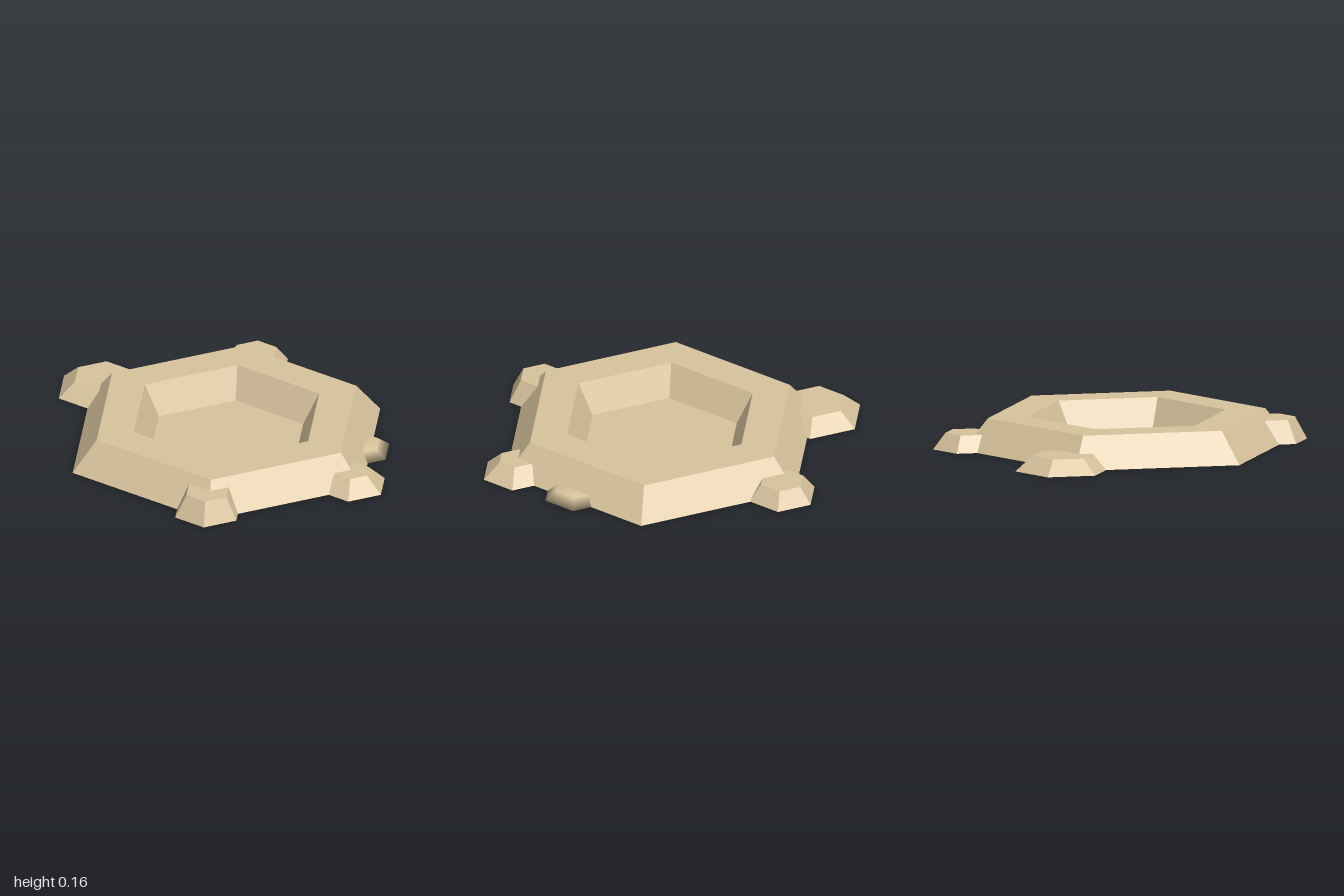
import * as THREE from 'three';
import { mergeVertices } from 'three/addons/utils/BufferGeometryUtils.js';

export function createModel() {
  const model = new THREE.Group();
  const color = 0xd7c29c;
  const facetedSand = new THREE.MeshStandardMaterial({ color, flatShading: true });
  const smoothSand = new THREE.MeshStandardMaterial({ color });

  // Hexagonal basin: sloped outer wall, flat rim, hollow with a thin floor
  const profile = [[0, 0], [0.832, 0], [0.702, 0.157], [0.501, 0.157], [0.415, 0.004], [0, 0.004]]
    .map(([r, y]) => new THREE.Vector2(r, y));
  const basin = new THREE.Mesh(new THREE.LatheGeometry(profile, 6, Math.PI / 2), facetedSand);
  basin.name = 'basin';
  basin.position.set(0.05, 0, 0.034);
  model.add(basin);

  // Small hexagonal rocks leaning into the outer wall
  const addRock = (name, x, z, bottomRadius, topRadius, height) => {
    const geometry = new THREE.CylinderGeometry(
      topRadius, bottomRadius, height, 6, 1, false, Math.PI / 2);
    const rock = new THREE.Mesh(geometry, facetedSand);
    rock.name = name;
    rock.position.set(x, height / 2, z);
    model.add(rock);
    return rock;
  };
  addRock('rightRock', -0.76, -0.038, 0.24, 0.153, 0.075);
  addRock('leftRock', 0.824, 0.037, 0.176, 0.09, 0.081);
  addRock('frontRock', 0.406, 0.677, 0.176, 0.115, 0.113);
  addRock('backRock', -0.297, -0.681, 0.176, 0.113, 0.081);

  // The lowest rock is worn smooth: its faces share corner normals
  const lowRock = addRock('lowRock', 0.632, -0.272, 0.17, 0.113, 0.041);
  lowRock.geometry.deleteAttribute('normal');
  lowRock.geometry.deleteAttribute('uv');
  lowRock.geometry = mergeVertices(lowRock.geometry);
  lowRock.geometry.computeVertexNormals();
  lowRock.material = smoothSand;

  return model;
}
